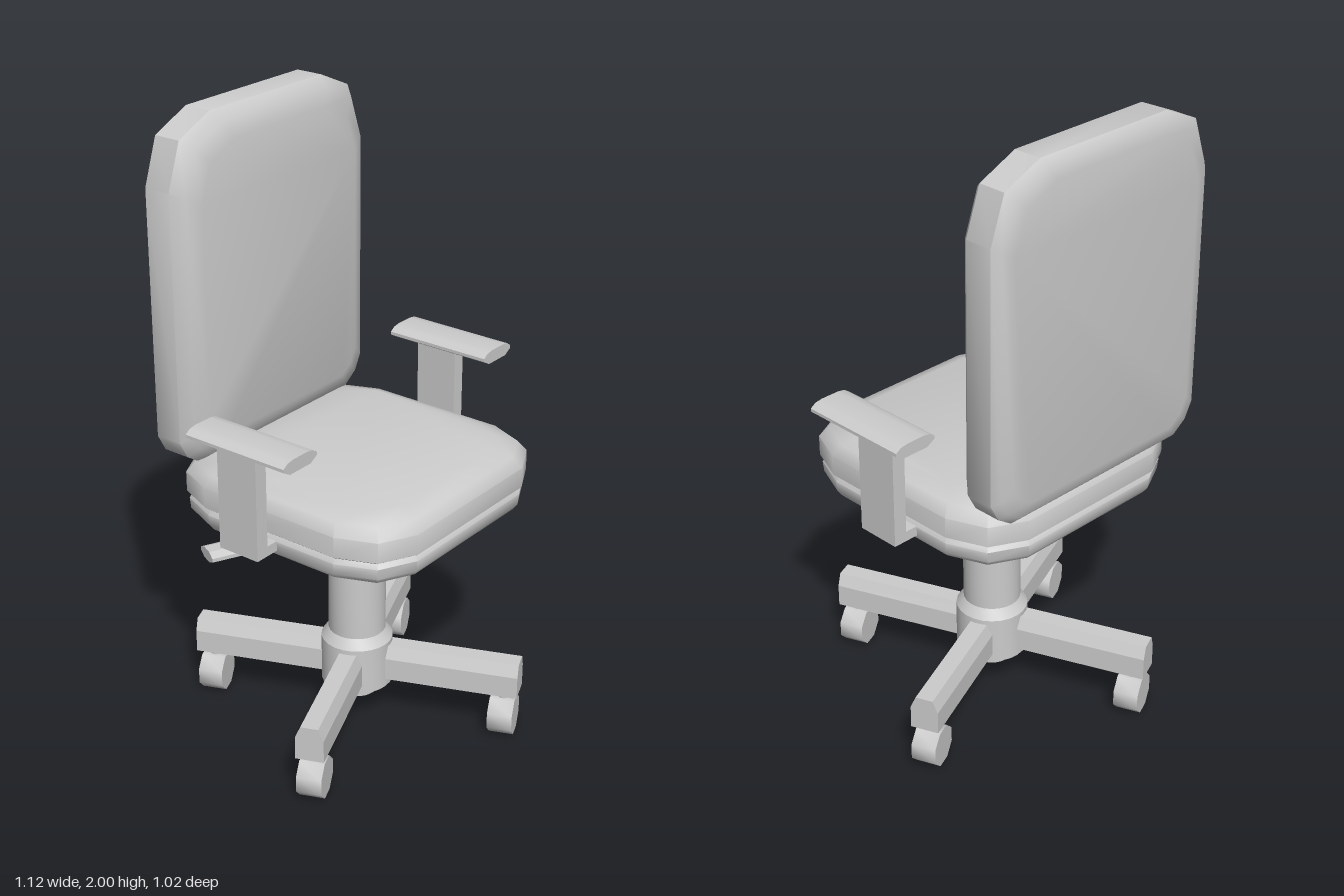
import * as THREE from 'three';
import { toCreasedNormals } from 'three/addons/utils/BufferGeometryUtils.js';

const grey = new THREE.MeshStandardMaterial({ color: 0xcccccc });

function add(parent, name, geometry, x = 0, y = 0, z = 0) {
  const mesh = new THREE.Mesh(geometry, grey);
  mesh.name = name;
  mesh.position.set(x, y, z);
  parent.add(mesh);
  return mesh;
}

// Rectangle with two-step chamfered corners; each corner is [long cut, short cut]
function outline(hw, hh, top, bottom) {
  const points = [];
  for (const [sx, sy, [c, d], flip] of [[1, 1, top, 0], [-1, 1, top, 1], [-1, -1, bottom, 0], [1, -1, bottom, 1]]) {
    const corner = [[hw, hh - c], [hw - d, hh - d * 1.15], [hw - c * 0.9, hh]];
    if (flip) corner.reverse();
    for (const [x, y] of corner) points.push([x * sx, y * sy]);
  }
  return points;
}

// Loft an outline along z through levels of [z, inset], closed at both ends
function pad(hw, hh, top, bottom, levels, crease = 0.75) {
  const ring = outline(hw, hh, top, bottom);
  const n = ring.length;
  const pos = [], index = [];
  for (const [z, inset] of levels)
    for (const [x, y] of ring) pos.push(x * (hw - inset) / hw, y * (hh - inset) / hh, z);
  for (let l = 0; l < levels.length - 1; l++)
    for (let i = 0; i < n; i++) {
      const a = l * n + i, b = l * n + (i + 1) % n;
      index.push(a, b, b + n, a, b + n, a + n);
    }
  const last = (levels.length - 1) * n;
  for (let i = 1; i < n - 1; i++) {
    index.push(0, i + 1, i);
    index.push(last, last + i, last + i + 1);
  }
  const g = new THREE.BufferGeometry();
  g.setAttribute('position', new THREE.Float32BufferAttribute(pos, 3));
  g.setIndex(index);
  return toCreasedNormals(g, crease);
}

// Extrude a polygon along z
function prism(points, depth) {
  const shape = new THREE.Shape(points.map(p => new THREE.Vector2(...p)));
  return new THREE.ExtrudeGeometry(shape, { depth, bevelEnabled: false });
}

function lathe(points, segments) {
  const g = new THREE.LatheGeometry(points.map(p => new THREE.Vector2(...p)), segments);
  return toCreasedNormals(g, 0.6);
}

export function createModel() {
  const chair = new THREE.Group();
  chair.name = 'officeChair';

  // Seat: cushion over a shallow pan
  const cushion = pad(0.43, 0.425, [0.18, 0.05], [0.18, 0.05],
    [[0.82, 0.02], [0.835, 0], [0.9, 0], [0.935, 0.025], [0.957, 0.08]]);
  add(chair, 'seatCushion', cushion.rotateX(-Math.PI / 2), 0, 0, 0.005);
  const pan = pad(0.425, 0.42, [0.18, 0.05], [0.18, 0.05],
    [[0.758, 0.015], [0.775, 0.003], [0.81, 0], [0.828, 0.012]]);
  add(chair, 'seatPan', pan.rotateX(-Math.PI / 2), 0, 0, 0.005);

  // Backrest
  const back = pad(0.43, 0.535, [0.2, 0.05], [0.09, 0.03],
    [[-0.455, 0.06], [-0.445, 0.02], [-0.425, 0], [-0.335, 0], [-0.3, 0.03], [-0.282, 0.08]]);
  add(chair, 'backrest', back, 0, 1.465, 0);

  // Armrests
  for (const side of [1, -1]) {
    const arm = new THREE.Group();
    arm.name = side > 0 ? 'leftArmrest' : 'rightArmrest';
    const top = prism([[-0.045, 0], [0.045, 0], [0.073, 0.016], [0.073, 0.026], [0.055, 0.038],
      [0.03, 0.042], [-0.03, 0.042], [-0.055, 0.038], [-0.073, 0.026], [-0.073, 0.016]], 0.365);
    add(arm, 'armPad', toCreasedNormals(top, 0.65), side * 0.487, 1.119, -0.185);
    add(arm, 'armPost', new THREE.BoxGeometry(0.045, 0.345, 0.145), side * 0.4875, 0.9525, -0.04);
    add(arm, 'armFoot', new THREE.BoxGeometry(0.13, 0.032, 0.145), side * 0.445, 0.796, -0.04);
    chair.add(arm);
  }

  // Gas column and hub
  add(chair, 'column', lathe([[0, 0.08], [0.066, 0.08], [0.066, 0.122], [0.115, 0.122], [0.115, 0.28],
    [0.092, 0.312], [0.092, 0.53], [0.066, 0.53], [0.066, 0.76]], 24));

  // Height lever
  const path = new THREE.CatmullRomCurve3([[0, 0.745, -0.04], [-0.06, 0.73, -0.055], [-0.12, 0.7, -0.075],
    [-0.18, 0.69, -0.1], [-0.27, 0.69, -0.14], [-0.38, 0.69, -0.19]].map(p => new THREE.Vector3(...p)));
  add(chair, 'leverRod', new THREE.TubeGeometry(path, 20, 0.013, 8));
  const paddle = prism([[-0.045, -0.006], [-0.02, -0.018], [0.02, -0.018], [0.045, -0.006],
    [0.045, 0.006], [0.02, 0.018], [-0.02, 0.018], [-0.045, 0.006]], 0.105);
  add(chair, 'leverPaddle', paddle, -0.355, 0.69, -0.18).rotation.y = Math.PI + 1.13;

  // Four-arm base with casters
  const turn = Math.PI / 8;
  for (let i = 0; i < 4; i++) {
    const leg = new THREE.Group();
    leg.name = 'baseLeg' + (i + 1);
    leg.rotation.y = turn + i * Math.PI / 2;
    const beam = prism([[-0.045, 0.15], [0.045, 0.15], [0.045, 0.225], [0.028, 0.265],
      [-0.028, 0.265], [-0.045, 0.225]], 0.535);
    add(leg, 'legBeam', beam);
    const stem = new THREE.CylinderGeometry(0.016, 0.016, 0.07, 10);
    add(leg, 'casterStem', stem, 0, 0.125, 0.485);
    const wheel = new THREE.CylinderGeometry(0.067, 0.067, 0.08, 8).rotateY(turn).rotateX(Math.PI / 2);
    // All wheels share one rolling direction
    add(leg, 'casterWheel', toCreasedNormals(wheel, 0.9), 0, 0.063, 0.485).rotation.y = -i * Math.PI / 2;
    chair.add(leg);
  }

  return chair;
}
